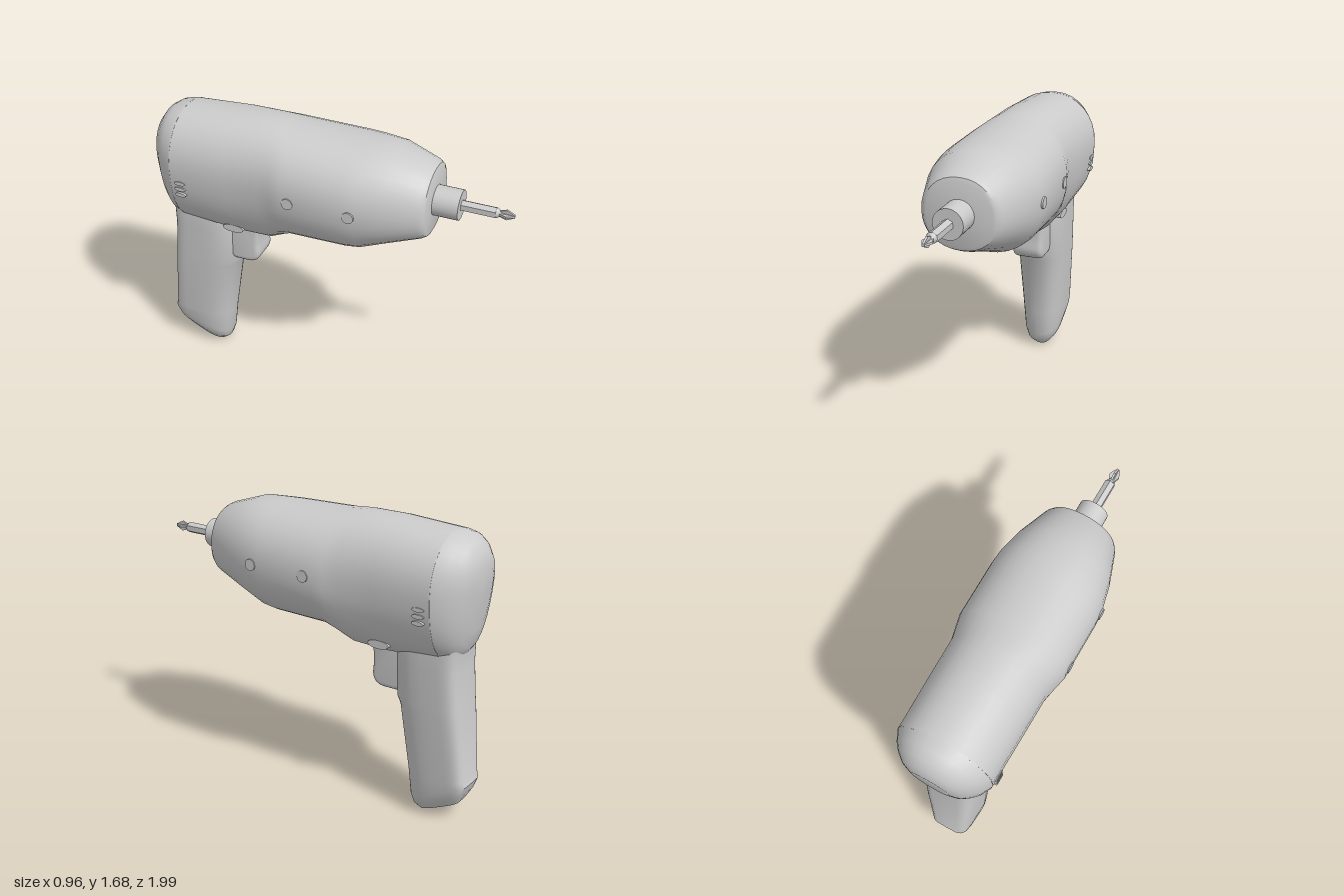
import * as THREE from 'three';
import { toCreasedNormals } from 'three/addons/utils/BufferGeometryUtils.js';

const material = new THREE.MeshStandardMaterial({ color: 0xcccccc });
const SEG = 32;
const AXIS_Y = 1.36; // height of the chuck and bit

// Skin a list of closed rings (arrays of [x, y, z]) and close both ends.
function loft(rings, crease) {
  const pos = [], index = [];
  for (const ring of rings) for (const p of ring) pos.push(...p);
  const n = SEG;
  for (let r = 0; r < rings.length - 1; r++) {
    for (let i = 0; i < n; i++) {
      const a = r * n + i, b = r * n + (i + 1) % n, c = a + n, d = b + n;
      index.push(a, c, b, b, c, d);
    }
  }
  const cap = (r, flip) => {
    const centre = [0, 1, 2].map(k => rings[r].reduce((s, p) => s + p[k], 0) / n);
    const m = pos.length / 3;
    pos.push(...centre);
    for (let i = 0; i < n; i++) {
      const a = r * n + i, b = r * n + (i + 1) % n;
      if (flip) index.push(m, b, a); else index.push(m, a, b);
    }
  };
  cap(0, false);
  cap(rings.length - 1, true);
  const g = new THREE.BufferGeometry();
  g.setAttribute('position', new THREE.Float32BufferAttribute(pos, 3));
  g.setIndex(index);
  return toCreasedNormals(g, crease);
}

const power = (v, e) => Math.sign(v) * Math.pow(Math.abs(v), e);
const angles = Array.from({ length: SEG }, (_, i) => i / SEG * Math.PI * 2);

// Upright housing section: separate heights above and below the widest line.
function bodyRing([z, halfWidth, top, bottom, lean = 0]) {
  const mid = 1.35;
  return angles.map(a => {
    const s = power(Math.sin(a), 0.92);
    const y = mid + s * (s > 0 ? top - mid : mid - bottom);
    return [halfWidth * power(Math.cos(a), 0.92), y, z + lean * (1.5 - y)];
  });
}

// Level grip section: round at the front, squarer at the back; tilt lifts the back.
function gripRing([y, halfWidth, front, back, tilt = 0]) {
  const mid = (front + back) / 2, half = (front - back) / 2;
  return angles.map(a => {
    const s = -Math.sin(a), e = s > 0 ? 0.8 : 0.4;
    const z = mid + half * power(s, e);
    return [halfWidth * power(Math.cos(a), e), y + tilt * (front - z), z];
  });
}

export function createModel() {
  const model = new THREE.Group();
  model.name = 'powerDrill';
  const drill = new THREE.Group();
  drill.name = 'drill';
  drill.rotation.y = THREE.MathUtils.degToRad(19.5);
  // The tool's centre plane sits a little to the left
  drill.position.set(0.054, 0, -0.019);
  model.add(drill);

  const add = (name, geometry, x = 0, y = 0, z = 0) => {
    const mesh = new THREE.Mesh(geometry, material);
    mesh.name = name;
    mesh.position.set(x, y, z);
    drill.add(mesh);
    return mesh;
  };

  // Motor housing, nose to seam: z, half width, top, bottom
  add('housing', loft([
    [0.642, 0.185, 1.54, 1.18],
    [0.635, 0.205, 1.56, 1.163],
    [0.61, 0.225, 1.575, 1.15],
    [0.42, 0.29, 1.637, 1.08],
    [0.28, 0.322, 1.642, 1.02],
    [0.2, 0.327, 1.645, 1.008],
    [-0.14, 0.325, 1.652, 1.0],
    [-0.21, 0.308, 1.66, 0.965],
    [-0.29, 0.288, 1.667, 0.92],
    [-0.5, 0.285, 1.667, 0.912],
    [-0.84, 0.28, 1.645, 0.94],
  ].map(bodyRing), 0.6));

  // Domed rear cover
  add('rearCover', loft([
    [-0.835, 0.281, 1.646, 0.94],
    [-0.9, 0.25, 1.635, 0.955, 0.02],
    [-0.945, 0.215, 1.605, 0.98, 0.05],
    [-0.985, 0.17, 1.55, 1.02, 0.08],
    [-1.01, 0.11, 1.48, 1.12, 0.1],
  ].map(bodyRing), 0.7));

  // Handle: y, half width, front, back, tilt
  add('grip', loft([
    [1.14, 0.15, -0.55, -0.945],
    [1.0, 0.158, -0.53, -0.925],
    [0.9, 0.156, -0.53, -0.925],
    [0.68, 0.15, -0.535, -0.945],
    [0.64, 0.148, -0.555, -0.95],
    [0.24, 0.128, -0.615, -0.985, 0.05],
    [0.08, 0.12, -0.632, -0.995, 0.42],
    [0.025, 0.105, -0.65, -0.975, 0.45],
    [-0.01, 0.07, -0.69, -0.94, 0.47],
  ].map(gripRing), 0.6));

  // Trigger: side profile (z, y) extruded across the tool
  const profile = new THREE.Shape();
  profile.moveTo(-0.41, 0.98);
  profile.quadraticCurveTo(-0.432, 0.87, -0.42, 0.78);
  profile.quadraticCurveTo(-0.42, 0.735, -0.46, 0.732);
  profile.lineTo(-0.54, 0.732);
  profile.quadraticCurveTo(-0.57, 0.74, -0.57, 0.8);
  profile.lineTo(-0.57, 0.98);
  const trigger = new THREE.ExtrudeGeometry(profile, {
    depth: 0.13, bevelSize: 0.03, bevelThickness: 0.03, bevelSegments: 4, curveSegments: 8,
  });
  trigger.translate(0, 0, -0.065);
  trigger.rotateY(-Math.PI / 2);
  add('trigger', toCreasedNormals(trigger, 0.7));

  // Chuck, hexagonal bit shank and cross-point tip
  const along = (r1, r2, from, to, sides) =>
    new THREE.CylinderGeometry(r2, r1, to - from, sides)
      .rotateX(Math.PI / 2).translate(0, 0, (from + to) / 2);
  add('chuck', along(0.085, 0.085, 0.6, 0.785, 32), 0, AXIS_Y);
  const shank = along(0.032, 0.032, 0.77, 0.975, 6);
  add('bitShank', toCreasedNormals(shank, 0.5), 0, AXIS_Y);
  add('bitNeck', along(0.03, 0.014, 0.975, 1.0, 12), 0, AXIS_Y);
  add('bitCore', along(0.014, 0.008, 0.99, 1.07, 8), 0, AXIS_Y);
  const blade = new THREE.Shape([
    [0.985, -0.014], [1.03, -0.03], [1.075, -0.008],
    [1.075, 0.008], [1.03, 0.03], [0.985, 0.014],
  ].map(p => new THREE.Vector2(...p)));
  for (let i = 0; i < 2; i++) {
    const g = new THREE.ExtrudeGeometry(blade, { depth: 0.012, bevelEnabled: false });
    g.translate(0, 0, -0.006).rotateY(-Math.PI / 2).rotateZ(i * Math.PI / 2);
    add('bitBlade', g, 0, AXIS_Y);
  }

  // Elliptical stud lying across the tool, ending at distance reach from its centre
  const stud = (name, side, reach, length, y, z, ry, rz) => {
    const g = new THREE.CylinderGeometry(1, 1, length, 20).rotateZ(Math.PI / 2);
    g.scale(1, ry, rz);
    add(name, g, side * (reach - length / 2), y, z);
  };
  for (const side of [-1, 1]) {
    // Housing screws
    for (const z of [0.257, -0.093]) stud('screw', side, 0.33, 0.05, 1.34, z, 0.033, 0.033);
    // Cooling vents
    for (const y of [1.28, 1.243, 1.206]) stud('vent', side, 0.283, 0.04, y, -0.776, 0.012, 0.035);
    // Direction switch
    stud('directionSwitch', side, 0.2, 0.14, 1.0, -0.495, 0.024, 0.065);
  }
  return model;
}
